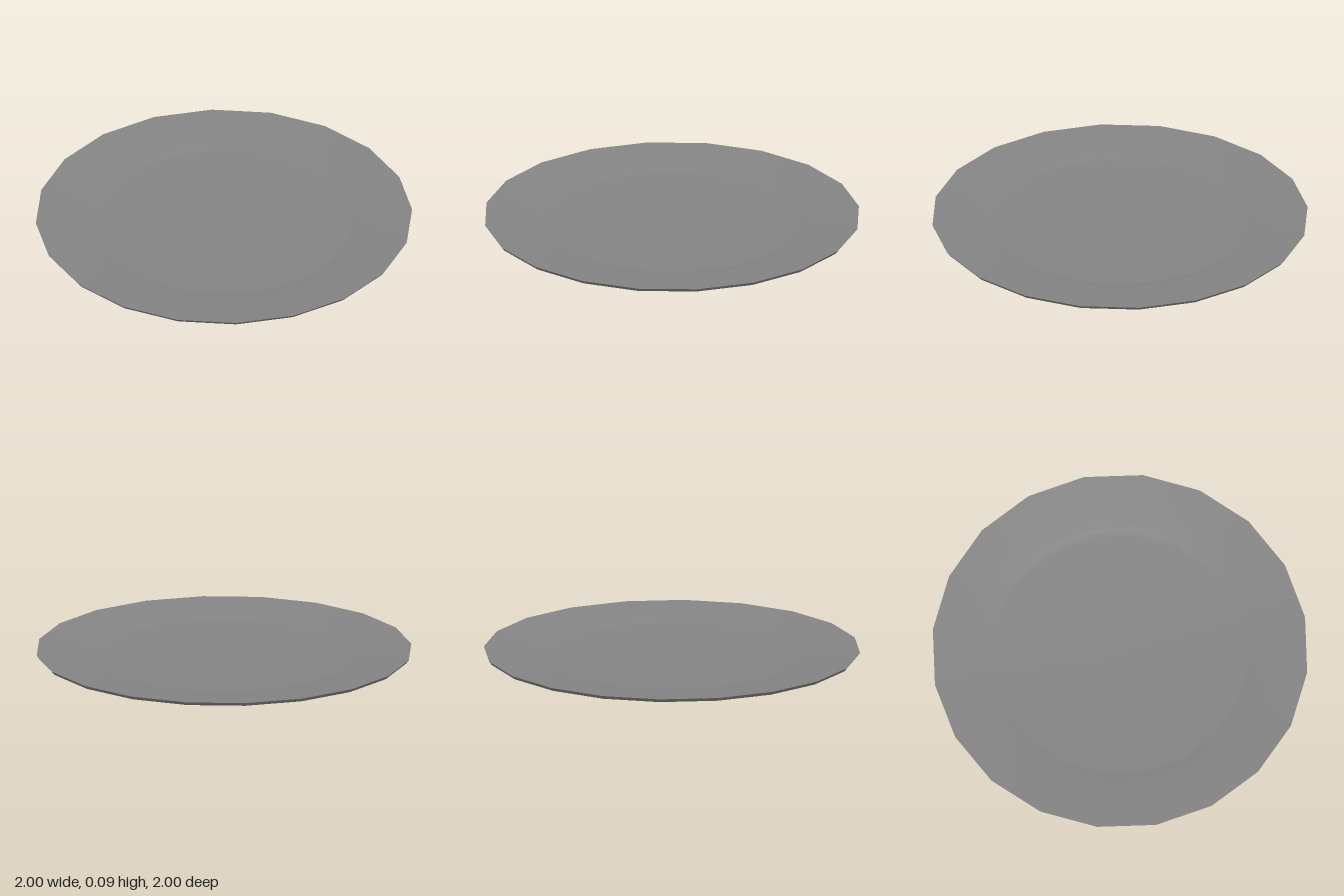
import * as THREE from 'three';

const SIDES = 20;

export function createModel() {
  const plate = new THREE.Group();
  plate.name = 'plate';
  const material = new THREE.MeshStandardMaterial({ color: 0x848484 });

  // Each band is its own lathe, so shading is smooth inside it and sharp between bands.
  const band = (name, profile) => {
    const points = profile.map(([r, y]) => new THREE.Vector2(r, y));
    const mesh = new THREE.Mesh(new THREE.LatheGeometry(points, SIDES), material);
    mesh.name = name;
    plate.add(mesh);
  };

  // Profiles run from the underside outward, up over the lip and back to the centre.
  band('base', [[0, 0], [0.705, 0.015]]);
  band('footRing', [[0.705, 0.015], [0.705, 0.028]]);
  band('underside', [[0.705, 0.028], [0.985, 0.073]]);
  band('lip', [[0.985, 0.073], [1, 0.092]]);
  band('eatingSurface', [
    [1, 0.092], [0.85, 0.079], [0.73, 0.067], [0.7, 0.061], [0.66, 0.055], [0.35, 0.047], [0, 0.043],
  ]);
  return plate;
}
